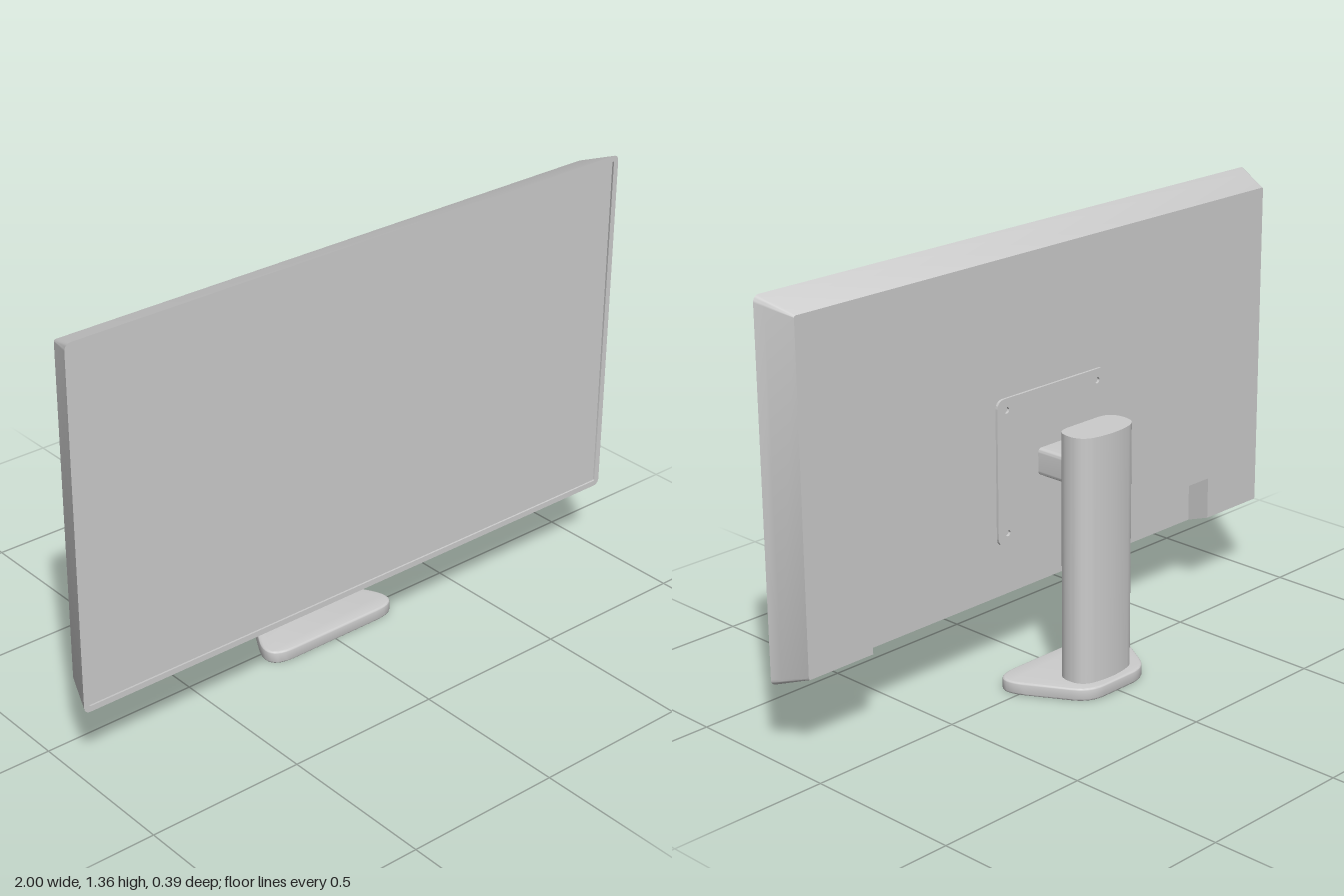
import * as THREE from 'three';
import { mergeGeometries, toCreasedNormals } from 'three/addons/utils/BufferGeometryUtils.js';

const material = new THREE.MeshStandardMaterial({ color: 0xcccccc });

function part(name, geometry) {
  const mesh = new THREE.Mesh(toCreasedNormals(geometry, 0.6), material);
  mesh.name = name;
  return mesh;
}

// Closed shape from corners [x, y, cut], each corner softened by a curve
function roundedPoly(corners) {
  const shape = new THREE.Shape();
  corners.forEach(([x, y, cut], i) => {
    const p = new THREE.Vector2(x, y);
    const toward = (k) => {
      const [qx, qy] = corners[(k + corners.length) % corners.length];
      return new THREE.Vector2(qx, qy).sub(p).setLength(cut).add(p);
    };
    const a = toward(i - 1), b = toward(i + 1);
    if (i) shape.lineTo(a.x, a.y); else shape.moveTo(a.x, a.y);
    shape.quadraticCurveTo(p.x, p.y, b.x, b.y);
  });
  shape.closePath();
  return shape;
}

const roundedRect = (w, h, r) =>
  roundedPoly([[-w, -h, r], [w, -h, r], [w, h, r], [-w, h, r]]);

// Counter-clockwise rounded rectangle ring, optionally notched at the bottom
function ring(z, hw, y0, y1, r, notch) {
  const pts = [];
  const centres = [[-hw + r, y0 + r], [hw - r, y0 + r], [hw - r, y1 - r], [-hw + r, y1 - r]];
  centres.forEach(([cx, cy], i) => {
    for (let k = 0; k <= 5; k++) {
      const t = Math.PI * (1 + i / 2 + k / 10);
      pts.push(new THREE.Vector3(cx + r * Math.cos(t), cy + r * Math.sin(t), z));
    }
    if (i === 0 && notch) {
      for (const [x, y] of [[-0.72, y0], [-0.72, 0.405], [0.72, 0.405], [0.72, y0]]) {
        pts.push(new THREE.Vector3(x, y, z));
      }
    }
  });
  return pts;
}

// Skin over rings running towards the back, with optional end caps
function loft(rings, capFirst, capLast) {
  const pos = [];
  const tri = (...vs) => vs.forEach((v) => pos.push(v.x, v.y, v.z));
  for (let i = 0; i + 1 < rings.length; i++) {
    const a = rings[i], b = rings[i + 1];
    a.forEach((p, j) => {
      const n = (j + 1) % a.length;
      tri(p, b[j], b[n]);
      tri(p, b[n], a[n]);
    });
  }
  const cap = (pts, back) => {
    const flat = pts.map((p) => new THREE.Vector2(p.x, p.y));
    for (const [a, b, c] of THREE.ShapeUtils.triangulateShape(flat, [])) {
      if (back) tri(pts[a], pts[c], pts[b]); else tri(pts[a], pts[b], pts[c]);
    }
  };
  if (capFirst) cap(rings[0], false);
  if (capLast) cap(rings[rings.length - 1], true);
  const g = new THREE.BufferGeometry();
  g.setAttribute('position', new THREE.Float32BufferAttribute(pos, 3));
  return g;
}

// Housing outline at a depth: it tapers from the front edge to the back
const FRONT = 0.195, BACK = 0.083, NOTCH = 0.163;
function outline(z, notch) {
  const t = (FRONT - z) / (FRONT - BACK);
  return ring(z, 1 - 0.043 * t, 0.23 + 0.04 * t, 1.357 - 0.042 * t, 0.02 - 0.014 * t, notch);
}

export function createModel() {
  const model = new THREE.Group();

  // Housing: front slab, then the tapered rear with the connector notch
  const frontRim = ring(FRONT, 0.982, 0.248, 1.339, 0.004);
  const frontSlab = loft([frontRim, outline(FRONT), outline(NOTCH)], false, true);
  const rear = loft([outline(NOTCH, true), outline(BACK, true)], false, true);
  model.add(part('housing', mergeGeometries([frontSlab, rear])));

  // Display panel, slightly recessed inside the rim
  const panelRing = ring(FRONT - 0.006, 0.982, 0.248, 1.339, 0.004);
  model.add(part('displayPanel', loft([panelRing, frontRim], true, false)));

  // Mounting plate with four screw holes
  const plateShape = roundedRect(0.228, 0.226, 0.03);
  for (const x of [-0.19, 0.19]) {
    for (const y of [-0.19, 0.19]) {
      plateShape.holes.push(new THREE.Path().absarc(x, y, 0.01, 0, Math.PI * 2, true));
    }
  }
  const plate = part('mountingPlate', new THREE.ExtrudeGeometry(plateShape,
    { depth: 0.009, bevelEnabled: false, curveSegments: 16 }));
  plate.position.set(0, 0.675, 0.075);
  model.add(plate);

  // Arm between plate and column
  const arm = part('arm', new THREE.ExtrudeGeometry(roundedRect(0.062, 0.042, 0.014),
    { depth: 0.14, bevelEnabled: false, curveSegments: 6 }));
  arm.position.set(0, 0.673, -0.06);
  model.add(arm);

  // Column: flat front, gently bowed back
  const columnShape = roundedPoly([
    [-0.117, 0.046, 0.055], [0.117, 0.046, 0.055], [0.117, 0.152, 0.05],
    [0, 0.178, 0.065], [-0.117, 0.152, 0.05],
  ]);
  const column = part('column', new THREE.ExtrudeGeometry(columnShape,
    { depth: 0.773, bevelEnabled: false, curveSegments: 12 }).rotateX(-Math.PI / 2));
  column.position.y = 0.037;
  model.add(column);

  // Base: rounded trapezoid, wide at the front
  const baseShape = roundedPoly([
    [-0.28, -0.083, 0.12], [0.28, -0.083, 0.12], [0.12, 0.195, 0.06], [-0.12, 0.195, 0.06],
  ]);
  const base = part('base', new THREE.ExtrudeGeometry(baseShape, {
    depth: 0.028, bevelThickness: 0.006, bevelSize: 0.006, bevelOffset: -0.006,
    bevelSegments: 3, curveSegments: 12,
  }).rotateX(-Math.PI / 2));
  base.position.y = 0.006;
  model.add(base);

  return model;
}
